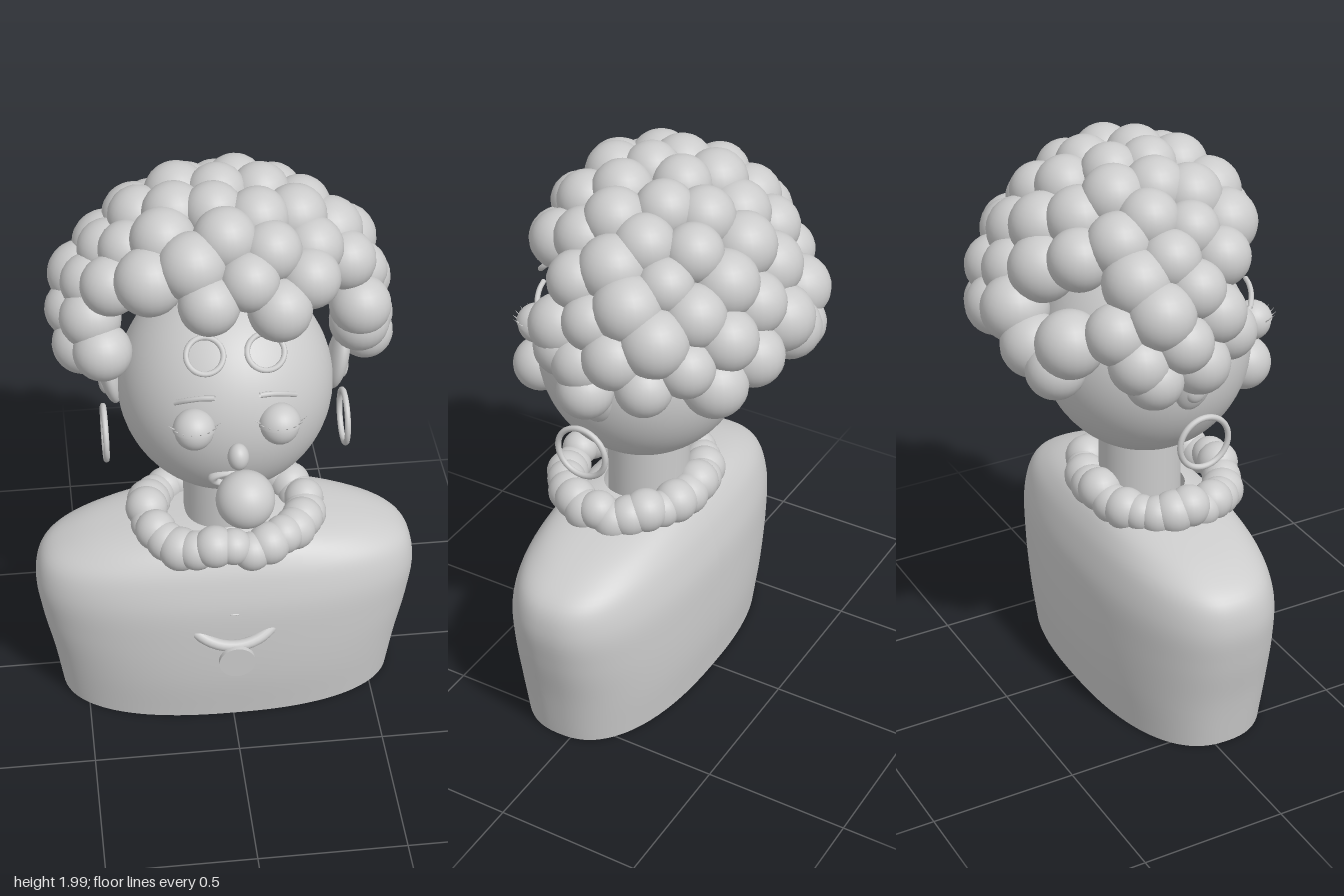
import * as THREE from 'three';

export function createModel() {
  const model = new THREE.Group();
  const material = new THREE.MeshStandardMaterial({ color: 0xcccccc, side: THREE.DoubleSide });

  function add(name, geometry, position = [0, 0, 0], rotation = [0, 0, 0], scale = [1, 1, 1], parent = model) {
    const mesh = new THREE.Mesh(geometry, material);
    mesh.name = name;
    mesh.position.set(...position);
    mesh.rotation.set(...rotation);
    mesh.scale.set(...scale);
    parent.add(mesh);
    return mesh;
  }
  function addGroup(name) {
    const group = new THREE.Group();
    group.name = name;
    model.add(group);
    return group;
  }
  const ball = new THREE.SphereGeometry(1, 32, 20);
  const curl = new THREE.SphereGeometry(1, 24, 16);

  let seed = 7;
  const random = () => (seed = (seed * 16807) % 2147483647) / 2147483647;

  // Torso: rounded oval sections (half width, height, half depth), open at the bottom
  const sections = new THREE.CatmullRomCurve3([
    [0.585, 0, 0.28], [0.612, 0.18, 0.3], [0.645, 0.35, 0.303], [0.658, 0.49, 0.295],
    [0.628, 0.585, 0.27], [0.52, 0.65, 0.24], [0.33, 0.702, 0.195], [0.14, 0.73, 0.13],
  ].map((p) => new THREE.Vector3(...p))).getPoints(40);
  const torso = new THREE.LatheGeometry(sections.map((p) => new THREE.Vector2(p.x, p.y)), 96, Math.PI);
  const points = torso.attributes.position;
  const squarer = (v) => Math.sign(v) * Math.abs(v) ** 0.83;
  for (let i = 0; i < points.count; i++) {
    const s = sections[i % sections.length];
    points.setX(i, squarer(points.getX(i) / s.x) * s.x);
    points.setZ(i, squarer(points.getZ(i) / s.x) * s.z);
  }
  torso.computeVertexNormals();
  add('torso', torso, [0, 0, 0.045]);

  // Neck and head
  add('neck', new THREE.CylinderGeometry(0.14, 0.14, 0.32, 40), [0, 0.84, 0.027]);
  add('head', new THREE.SphereGeometry(0.353, 56, 36), [0, 1.257, 0.045], [0, 0, 0], [1, 1.04, 1]);

  // Bead necklace, slightly uneven
  const necklace = addGroup('necklace');
  const beadCount = 27;
  for (let i = 0; i < beadCount; i++) {
    const a = i / beadCount * Math.PI * 2;
    const r = 0.062 + random() * 0.014;
    add('bead', curl, [Math.sin(a) * 0.27, 0.737 + (random() - 0.5) * 0.045, 0.08 + Math.cos(a) * 0.225],
      [0, 0, 0], [r, r, r], necklace);
  }

  // Pendant: tilted ring partly sunk in the chest, with a disc in front
  add('pendantRing', new THREE.TorusGeometry(0.18, 0.02, 14, 56), [0, 0.495, 0.245], [-0.72, 0, 0]);
  add('pendantDisc', new THREE.CylinderGeometry(0.062, 0.062, 0.016, 40), [0, 0.34, 0.42], [Math.PI / 2, 0, 0]);
  add('chestStud', ball, [0, 0.48, 0.338], [0, 0, 0], [0.02, 0.005, 0.006]);

  // Nose, mouth and bubble
  add('nose', ball, [0, 1.225, 0.418], [0, 0, 0], [0.034, 0.045, 0.04]);
  add('mouth', new THREE.TorusGeometry(0.065, 0.016, 12, 36), [-0.01, 1.1, 0.36], [0.35, 0, 0], [1, 0.5, 1]);
  add('bubble', ball, [0.02, 1.072, 0.445], [0, 0, 0], [0.095, 0.095, 0.095]);

  const lid = new THREE.SphereGeometry(0.068, 32, 12, 0, Math.PI * 2, 0, Math.PI / 2);
  const lash = new THREE.ConeGeometry(0.004, 0.04, 6);
  const up = new THREE.Vector3(0, 1, 0);

  for (const [label, s] of [['left', 1], ['right', -1]]) {
    // Eye with eyelid and a fan of lashes
    add(label + 'Eye', ball, [s * 0.135, 1.312, 0.378], [0, 0, 0], [0.063, 0.065, 0.063]);
    add(label + 'Eyelid', lid, [s * 0.135, 1.314, 0.378], [-0.2, 0, 0]);
    const lashes = addGroup(label + 'Lashes');
    for (let i = 0; i < 8; i++) {
      const a = -1.3 + i * 2.6 / 7;
      const dir = new THREE.Vector3(Math.sin(a), 0.25, Math.cos(a)).normalize();
      const cone = add('lash', lash, [s * 0.135 + dir.x * 0.074, 1.318 + dir.y * 0.074, 0.376 + dir.z * 0.066],
        [0, 0, 0], [1, 1, 1], lashes);
      cone.quaternion.setFromUnitVectors(up, dir.setY(0.9).normalize());
    }

    // Eyebrow
    const brow = new THREE.CatmullRomCurve3([
      new THREE.Vector3(s * 0.19, 1.392, 0.335), new THREE.Vector3(s * 0.15, 1.418, 0.362),
      new THREE.Vector3(s * 0.11, 1.433, 0.378), new THREE.Vector3(s * 0.07, 1.438, 0.388),
    ]);
    add(label + 'Eyebrow', new THREE.TubeGeometry(brow, 20, 0.009, 8));

    // Spectacle rim pushed up on the forehead
    add(label + 'SpectacleRim', new THREE.TorusGeometry(0.058, 0.009, 10, 40), [s * 0.095, 1.557, 0.325], [-0.8, 0, 0]);

    // Ear and hoop earring
    add(label + 'Ear', ball, [s * 0.376, 1.29, 0.015], [0, 0, -s * 0.18], [0.034, 0.115, 0.07]);
    add(label + 'EarInner', ball, [s * 0.388, 1.26, 0.015], [0, 0, 0], [0.025, 0.045, 0.038]);
    add(label + 'Earring', new THREE.TorusGeometry(0.089, 0.01, 12, 48), [s * 0.4, 1.068, 0.044], [0, Math.PI / 2, 0]);
  }

  // Hair: curls spread over a slightly forward-leaning shell, leaving the face free
  const hair = addGroup('hair');
  const total = 122;
  for (let i = 0; i < total; i++) {
    const h = 1 - (i + 0.5) / total * 2;
    const a = i * 2.39996 + 2.2;
    const ring = Math.sqrt(1 - h * h);
    const k = 0.97 + random() * 0.05;
    const depth = Math.sin(a) > 0 ? 0.39 : 0.365;
    const x = Math.cos(a) * ring * 0.47 * k;
    const y = 1.47 + h * 0.43 * k;
    const z = -0.075 + Math.sin(a) * ring * depth * k + 0.16 * (y - 1.47);
    const r = 0.092 + random() * 0.02;
    const lowest = z > 0.14 ? 1.67 : z > 0.04 ? 1.45 : 1.39;
    const gap = z < -0.1 && Math.abs(x + 0.25) < 0.08 && Math.abs(y - 1.58) < 0.06;
    if (y < lowest || gap) continue;
    add('curl', curl, [x, y, z], [0, 0, 0], [r, r, r], hair);
  }

  // Loose curls hanging lower around the ears and nape
  for (const [x, y, z, r] of [
    [0.47, 1.37, -0.02, 0.092], [0.43, 1.48, 0.08, 0.098],
    [-0.45, 1.37, -0.17, 0.095], [-0.23, 1.365, -0.4, 0.098],
  ]) add('looseCurl', curl, [x, y, z], [0, 0, 0], [r, r, r], hair);

  return model;
}
